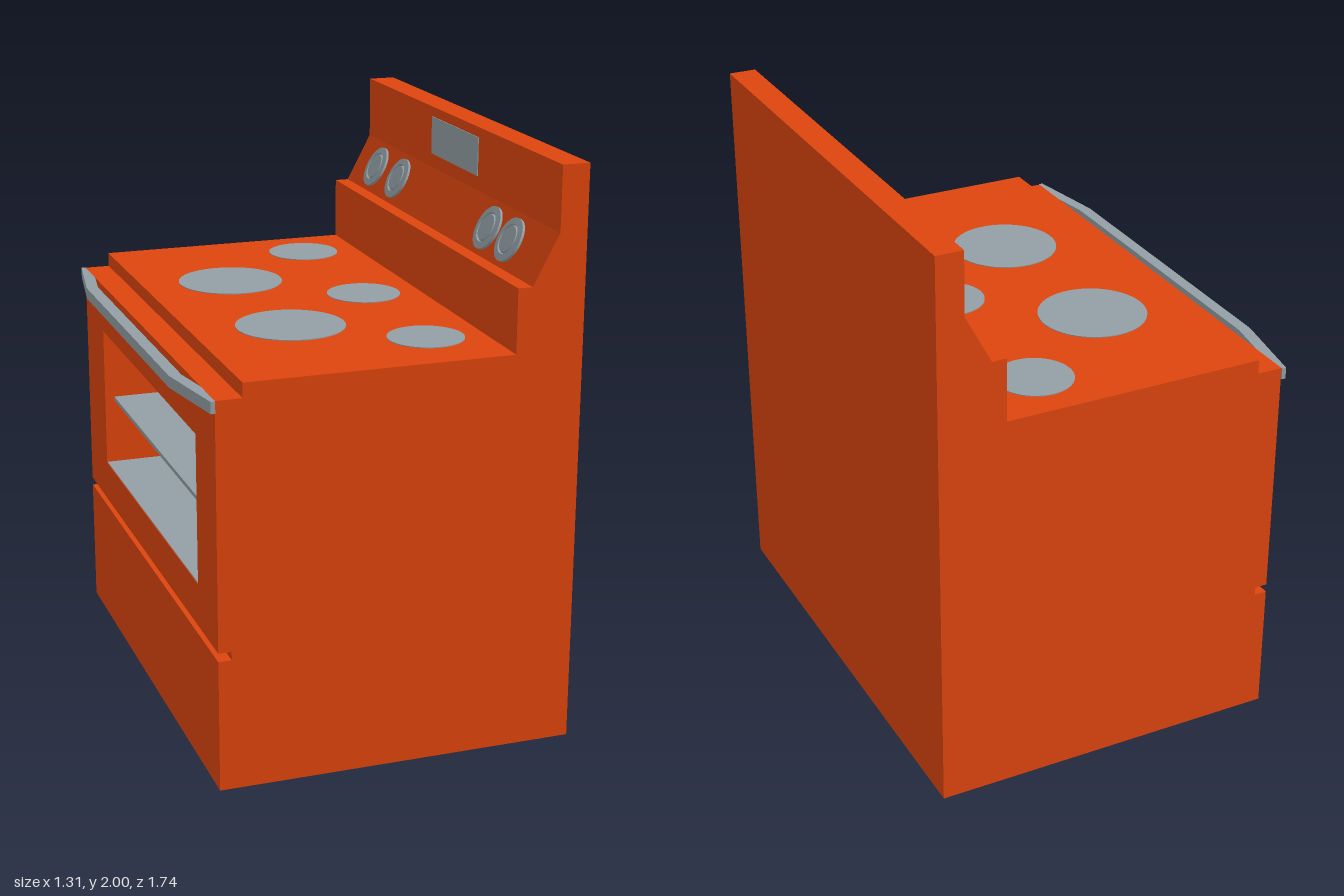
import * as THREE from 'three';

const orange = new THREE.MeshStandardMaterial({ color: 0xdd450e, flatShading: true });
const grey = new THREE.MeshStandardMaterial({ color: 0x939fa5, flatShading: true });

const HALF = 0.865;                  // half the width, along z
const FRONT = -0.59;                 // door plane
const CAVITY = { back: -0.27, y0: 0.64, y1: 1.16, z0: -0.605, z1: 0.64 };

export function createModel() {
  const stove = new THREE.Group();
  stove.name = 'stove';

  const add = (name, geometry, material, x = 0, y = 0, z = 0) => {
    const mesh = new THREE.Mesh(geometry, material);
    mesh.name = name;
    mesh.position.set(x, y, z);
    stove.add(mesh);
    return mesh;
  };
  const box = (name, material, x0, x1, y0, y1, z0, z1) =>
    add(name, new THREE.BoxGeometry(x1 - x0, y1 - y0, z1 - z0), material,
      (x0 + x1) / 2, (y0 + y1) / 2, (z0 + z1) / 2);

  // Body: side profile extruded across the width; the middle slice has the oven cavity
  const bodySlice = (name, z0, z1, open) => {
    const points = [
      [FRONT, 0], [0.655, 0], [0.655, 2], [0.56, 2], [0.56, 1.78], [0.47, 1.61],
      [0.42, 1.61], [0.42, 1.39], [-0.5, 1.39], [-0.5, 1.34], [FRONT, 1.34],
    ];
    if (open) {
      points.push([FRONT, CAVITY.y1], [CAVITY.back, CAVITY.y1],
        [CAVITY.back, CAVITY.y0], [FRONT, CAVITY.y0]);
    }
    // groove above the drawer
    points.push([FRONT, 0.49], [-0.545, 0.49], [-0.545, 0.46], [FRONT, 0.46]);
    const shape = new THREE.Shape(points.map(([x, y]) => new THREE.Vector2(x, y)));
    add(name, new THREE.ExtrudeGeometry(shape, { depth: z1 - z0, bevelEnabled: false }),
      orange, 0, 0, z0);
  };
  bodySlice('bodyRight', -HALF, CAVITY.z0, false);
  bodySlice('bodyMiddle', CAVITY.z0, CAVITY.z1, true);
  bodySlice('bodyLeft', CAVITY.z1, HALF, false);

  // Oven floor and rack
  box('ovenFloor', grey, FRONT + 0.002, CAVITY.back, CAVITY.y0, CAVITY.y0 + 0.003, CAVITY.z0, CAVITY.z1);
  box('ovenRack', grey, -0.555, CAVITY.back, 0.885, 0.9, CAVITY.z0, CAVITY.z1);

  // Burners: x, z, radius
  const burners = [
    [0.21, -0.644, 0.13], [0.217, 0, 0.13], [0.22, 0.584, 0.13],
    [-0.18, -0.317, 0.187], [-0.158, 0.306, 0.187],
  ];
  for (const [x, z, r] of burners) {
    add('burner', new THREE.CylinderGeometry(r, r, 0.004, 48), grey, x, 1.391, z);
  }

  // Knobs: shallow discs with a ring groove, square to the sloping panel
  const knobProfile = [
    [0.078, 0], [0.078, 0.009], [0.054, 0.012], [0.05, 0.006], [0.046, 0.012], [0, 0.012],
  ].map(([r, y]) => new THREE.Vector2(r, y));
  const knobGeometry = new THREE.LatheGeometry(knobProfile, 40);
  const slopeNormal = new THREE.Vector3(-0.17, 0.09, 0).normalize();
  for (const z of [-0.662, -0.437, 0.405, 0.584]) {
    const knob = add('knob', knobGeometry, grey, 0.515, 1.695, z);
    knob.quaternion.setFromUnitVectors(new THREE.Vector3(0, 1, 0), slopeNormal);
  }

  // Display on the upright panel
  box('display', grey, 0.557, 0.562, 1.83, 1.965, -0.22, 0.2);

  // Handle: bar with angled ends, drawn in plan (x, -z) and extruded upwards
  const half = [[-0.59, 0.87], [-0.605, 0.87], [-0.655, 0.57]];
  const inner = [[-0.613, 0.57], [-0.59, 0.71]];
  const mirror = (list) => list.map(([x, z]) => [x, -z]).reverse();
  const plan = [...half, ...mirror(half), ...mirror(inner), ...inner];
  const handleShape = new THREE.Shape(plan.map(([x, z]) => new THREE.Vector2(x, z)));
  const handle = add('handle',
    new THREE.ExtrudeGeometry(handleShape, { depth: 0.04, bevelEnabled: false }), grey, 0, 1.3, 0);
  handle.rotation.x = -Math.PI / 2;

  return stove;
}
